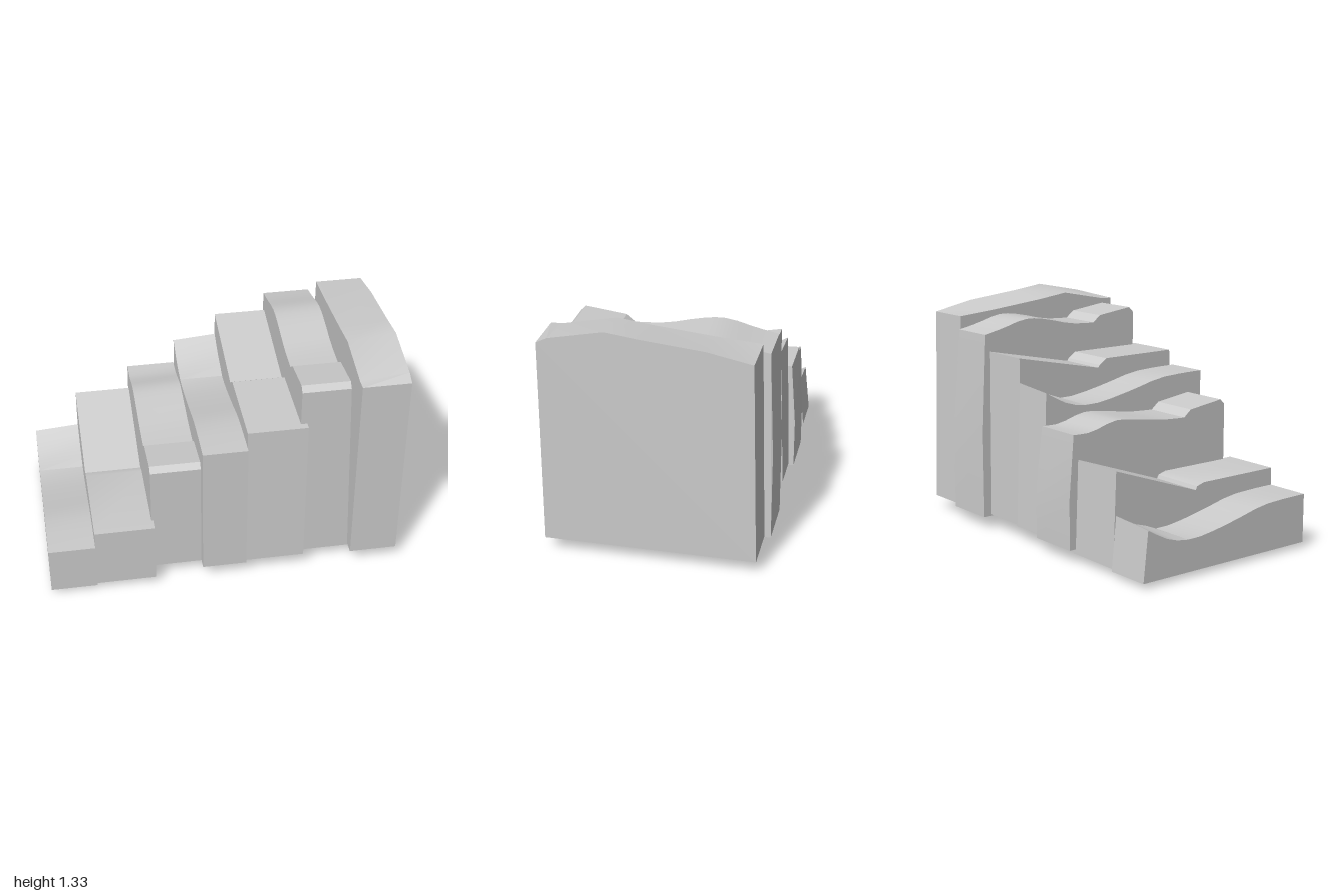
import * as THREE from 'three';
import { toCreasedNormals } from 'three/addons/utils/BufferGeometryUtils.js';

const material = new THREE.MeshStandardMaterial({ color: 0xcccccc });

// Smooth run of [z, y] points through a few guides
function smooth(points, n = 12) {
  const curve = new THREE.SplineCurve(points.map(p => new THREE.Vector2(...p)));
  return curve.getPoints(n).map(p => [p.x, p.y]);
}

// Stone slab: [z, y] side outline extruded from x0 to x1, optionally bent by a rule
function slab(name, x0, x1, outline, bend) {
  const shape = new THREE.Shape(outline.map(([z, y]) => new THREE.Vector2(-z, y)));
  let geo = new THREE.ExtrudeGeometry(shape, { depth: x1 - x0, bevelEnabled: false });
  geo.rotateY(Math.PI / 2).translate(x0, 0, 0);
  if (bend) {
    const pos = geo.attributes.position;
    const v = new THREE.Vector3();
    for (let i = 0; i < pos.count; i++) {
      v.fromBufferAttribute(pos, i);
      bend(v, (v.x - x0) / (x1 - x0));
      pos.setXYZ(i, v.x, v.y, v.z);
    }
  }
  geo = toCreasedNormals(geo, 0.35);
  const mesh = new THREE.Mesh(geo, material);
  mesh.name = name;
  return mesh;
}

// Slab whose top is hollowed towards the back
function hollowOutline(bottom, h) {
  return [
    [0.6, bottom], [0.6, h],
    ...smooth([[0.5, h], [0.28, h - 0.01], [0.05, h - 0.06], [-0.2, h - 0.1], [-0.38, h - 0.08], [-0.54, h]]),
    [-0.57, bottom],
  ];
}

// Slab with a raised front lip, a dip, a rear hump and a bulging back
function lippedOutline(bottom, h, hump, back) {
  return [
    [0.53, bottom], [0.53, h - 0.03], [0.5, h], [0.27, h - 0.03],
    ...smooth([[0.22, h - 0.07], [0.05, h - 0.06], [-0.15, hump - 0.01], [-0.29, hump], [-0.45, hump - 0.04], [-0.57, back]]),
    [-0.6, back * 0.5], [-0.6, bottom],
  ];
}

export function createModel() {
  const model = new THREE.Group();
  model.name = 'stoneSteps';

  // Hollowed slabs, with the back rim rising slightly to one side
  const rim = (v, t) => { if (v.y > 0.15 && v.z < -0.3) v.y += 0.02 * t; };
  model.add(slab('lowestHollowStep', -1, -0.74, hollowOutline(0.03, 0.31), rim));
  model.add(slab('middleHollowStep', -0.13, 0.12, hollowOutline(0.08, 0.89), rim));

  // Slabs with a flat tread and a ramp rising to the back
  model.add(slab('lowRampedStep', -0.74, -0.4, [
    [0.6, 0.045], [0.6, 0.41], [0.08, 0.41], [0.03, 0.395], [0.02, 0.375],
    [-0.54, 0.57], [-0.56, 0.04], [-0.04, 0.0], [0.03, 0.05],
  ], (v, t) => { if (v.y < 0.1) v.y += (0.045 - v.y) * t; }));
  model.add(slab('highRampedStep', 0.12, 0.455, [
    [0.59, 0.09], [0.57, 0.985], [0.08, 0.985], [0.03, 0.95], [0.02, 0.935],
    [-0.54, 1.05], [-0.55, 0.08], [0.06, 0.08], [0.07, 0.02],
  ], v => { if (v.z < 0.05 && v.x > 0.43) v.x = 0.43; }));

  // Slabs with a front lip
  model.add(slab('lowLippedStep', -0.415, -0.11, lippedOutline(0.07, 0.77, 0.75, 0.71),
    (v, t) => { if (t > 0.5 && v.y > 0.5) v.x -= 0.02; }));
  model.add(slab('highLippedStep', 0.42, 0.73, lippedOutline(0.07, 1.22, 1.215, 1.15),
    (v, t) => { if (t > 0.5 && v.y > 0.9) v.x -= 0.04; }));

  // Tallest slab, with a faceted arched top leaning inward
  model.add(slab('topStep', 0.73, 1, [
    [0.6, 0.08], [0.6, 1.24], [0.54, 1.27], [0.24, 1.33], [0.05, 1.305],
    [-0.29, 1.27], [-0.535, 1.22], [-0.565, 0.075],
  ], (v, t) => { if (v.y > 1.25) v.y -= 0.03 * (1 - t); }));

  return model;
}
